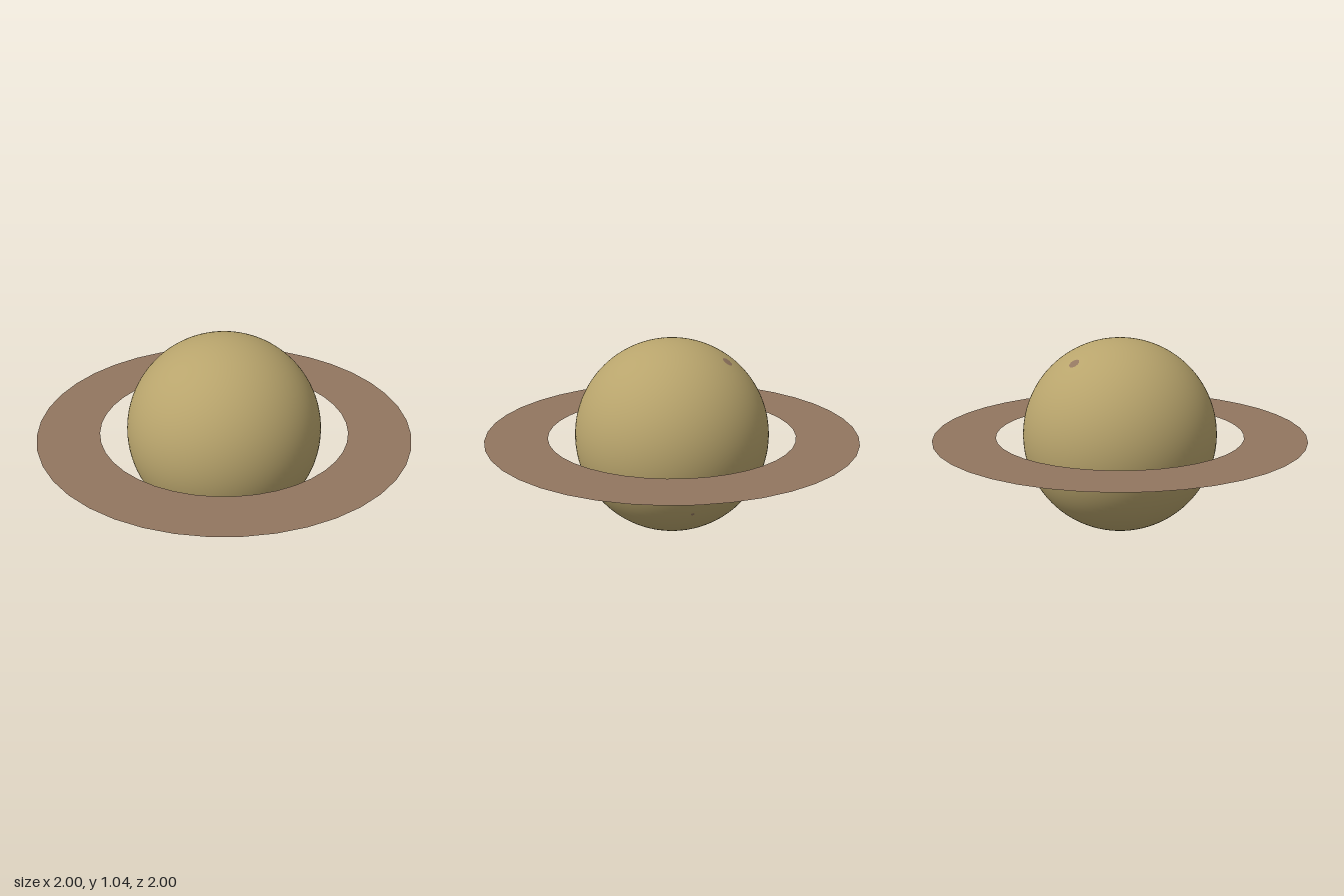
import * as THREE from 'three';

const R = 0.52;

export function createModel() {
  const model = new THREE.Group();
  model.name = 'ringedPlanet';

  const sand = new THREE.MeshStandardMaterial({ color: 0xb8a46c });
  sand.name = 'sand';
  const brown = new THREE.MeshStandardMaterial({ color: 0x92765f, side: THREE.DoubleSide });
  brown.name = 'dusty brown';

  const add = (name, geometry, material) => {
    const mesh = new THREE.Mesh(geometry, material);
    mesh.name = name;
    mesh.position.y = R;
    model.add(mesh);
    return mesh;
  };

  // Smooth planet body
  add('planet', new THREE.SphereGeometry(R, 96, 64), sand);

  // Flat ring around the equator
  add('ring', new THREE.RingGeometry(0.665, 1, 40, 1).rotateX(-Math.PI / 2), brown);

  // Small surface spots: thin caps that follow the sphere, [direction, radius]
  const spots = [
    [[-0.02, 0.425, -0.3], 0.03],
    [[0.356, -0.289, -0.244], 0.01],
  ];
  const up = new THREE.Vector3(0, 1, 0);
  for (const [dir, radius] of spots) {
    const cap = new THREE.SphereGeometry(R + 0.001, 10, 3, 0, Math.PI * 2, 0, radius / R);
    const spot = add('surfaceSpot', cap, brown);
    spot.quaternion.setFromUnitVectors(up, new THREE.Vector3(...dir).normalize());
  }

  return model;
}
